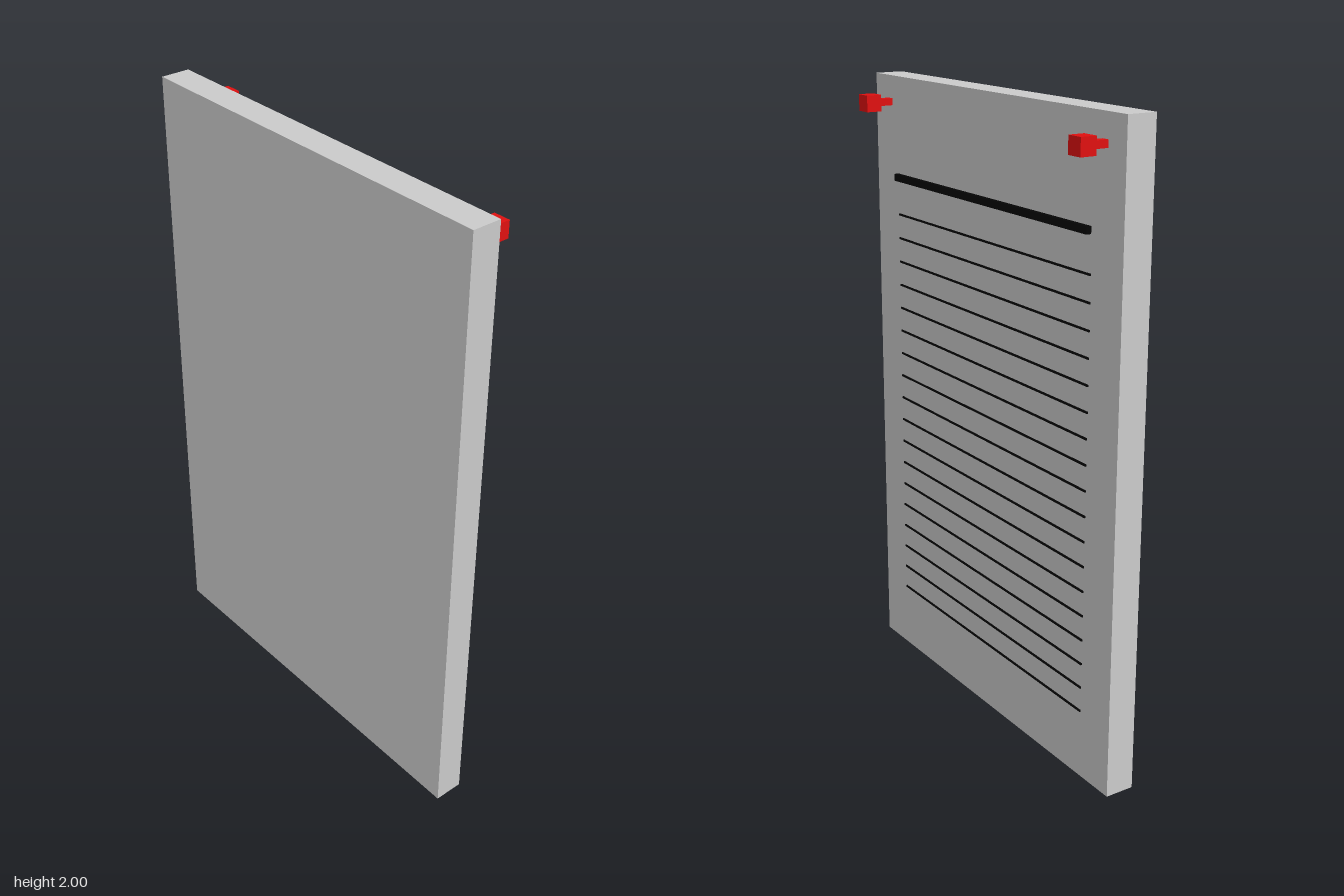
import * as THREE from 'three';

const grey = new THREE.MeshStandardMaterial({ color: 0xcccccc });
const black = new THREE.MeshStandardMaterial({ color: 0x050505 });
const red = new THREE.MeshStandardMaterial({ color: 0xe01010 });

// Box given by its x range, centre height and depth, and its y and z sizes
function box(name, material, x0, x1, y, z, height, depth) {
  const mesh = new THREE.Mesh(new THREE.BoxGeometry(x1 - x0, height, depth), material);
  mesh.position.set((x0 + x1) / 2, y, z);
  mesh.name = name;
  return mesh;
}

export function createModel() {
  const model = new THREE.Group();
  model.name = 'noticeBoard';
  const face = -0.003; // x of the written side

  // Upright sheet
  model.add(box('sheet', grey, -0.097, face, 1, 0, 2, 1.316));

  // Thick heading bar
  model.add(box('headingBar', black, face, 0.013, 1.68, 0.004, 0.022, 1.04));

  // Thin ruled lines below the heading
  const lines = new THREE.Group();
  lines.name = 'ruledLines';
  const count = 18, top = 1.558, bottom = 0.222;
  for (let i = 0; i < count; i++) {
    const y = top + (bottom - top) * i / (count - 1);
    lines.add(box('ruledLine', black, face - 0.002, 0.001, y, 0, 0.006, 1.04));
  }
  model.add(lines);

  // Push pins in the upper corners
  for (const z of [0.568, -0.568]) {
    const pin = new THREE.Group();
    pin.name = 'pushPin';
    pin.add(box('pinShaft', red, face, 0.046, 1.917, z, 0.022, 0.025));
    pin.add(box('pinHead', red, 0.046, 0.097, 1.917, z, 0.052, 0.054));
    model.add(pin);
  }
  return model;
}
